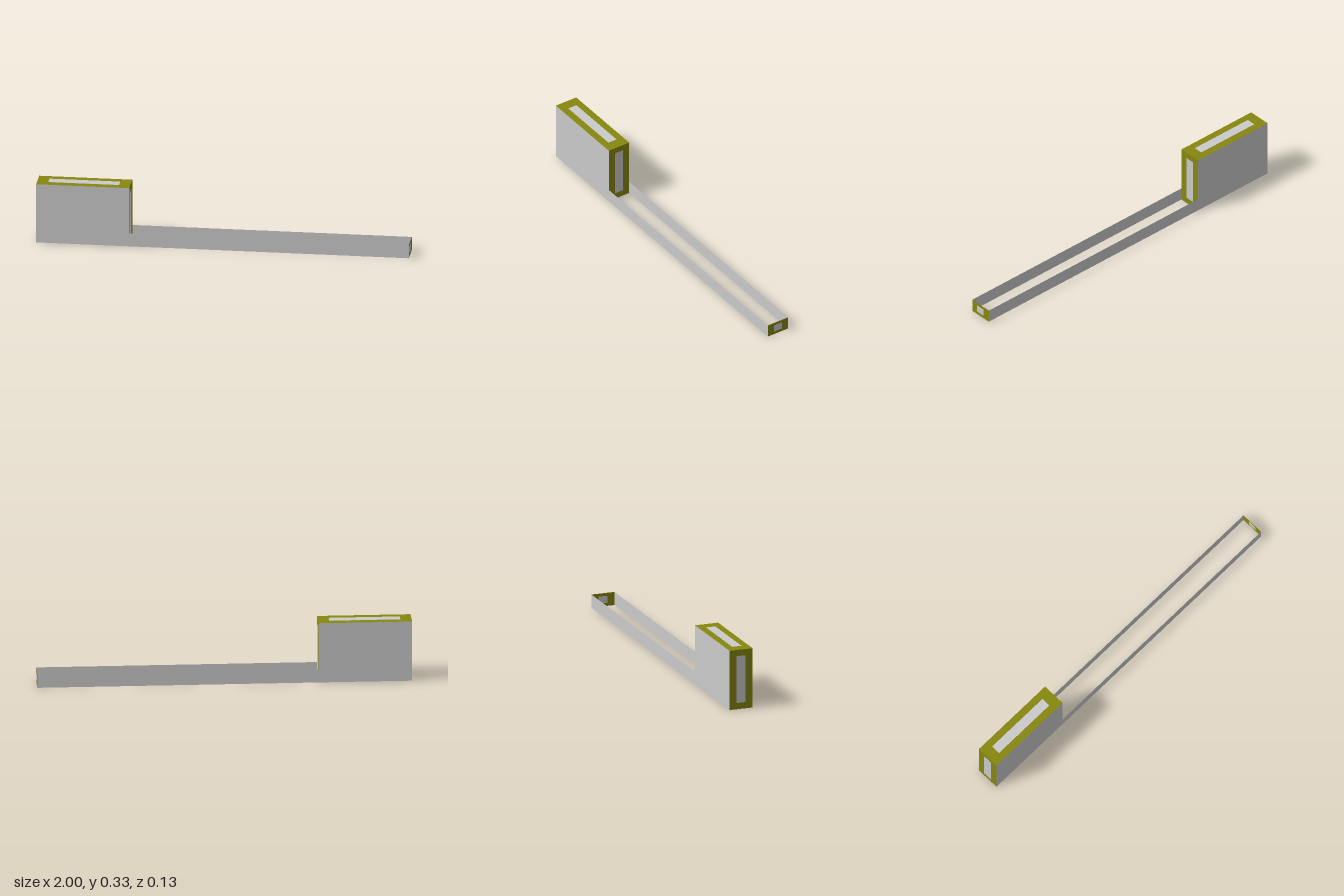
import * as THREE from 'three';

const grey = new THREE.MeshStandardMaterial({ color: 0xcccccc, side: THREE.DoubleSide });
const olive = new THREE.MeshStandardMaterial({ color: 0x888810, side: THREE.DoubleSide });

const HALF_DEPTH = 0.066, HEIGHT = 0.33, RAIL = 0.073, STEP = -0.5;
const LABEL_DEPTH = 0.052, THICK = 0.002;

export function createModel() {
  const group = new THREE.Group();

  const add = (name, geometry, material, x, y, z) => {
    const mesh = new THREE.Mesh(geometry, material);
    mesh.name = name;
    mesh.position.set(x, y, z);
    group.add(mesh);
    return mesh;
  };

  // Stepped side sheets: tall block at one end, low rail along the rest
  const outline = new THREE.Shape([
    [-1, 0], [1, 0], [1, RAIL], [STEP, RAIL], [STEP, HEIGHT], [-1, HEIGHT],
  ].map(([x, y]) => new THREE.Vector2(x, y)));
  const side = new THREE.ShapeGeometry(outline);
  add('frontSide', side, grey, 0, 0, HALF_DEPTH);
  add('backSide', side, grey, 0, 0, -HALF_DEPTH).geometry = side.clone().rotateY(Math.PI).scale(-1, 1, 1);
  group.children[1].geometry = side.clone();

  // Upright walls, each with a thin inset plate
  const upright = (name, x, height, margin) => {
    add(name, new THREE.PlaneGeometry(2 * HALF_DEPTH, height).rotateY(Math.PI / 2), olive, x, height / 2, 0);
    add(name + 'Plate', new THREE.BoxGeometry(THICK, height - 2 * margin, LABEL_DEPTH), grey, x, height / 2, 0);
  };
  upright('outerWall', -1, HEIGHT, 0.035);
  upright('stepWall', STEP, HEIGHT, 0.035);
  upright('railCap', 1, RAIL, 0.017);

  // Top and bottom of the tall block, with inset plates
  for (const [name, y] of [['blockTop', HEIGHT], ['blockBottom', 0]]) {
    add(name, new THREE.PlaneGeometry(0.5, 2 * HALF_DEPTH).rotateX(-Math.PI / 2), olive, -0.75, y, 0);
    add(name + 'Plate', new THREE.BoxGeometry(0.38, THICK, LABEL_DEPTH), grey, -0.75, y, 0);
  }

  return group;
}
